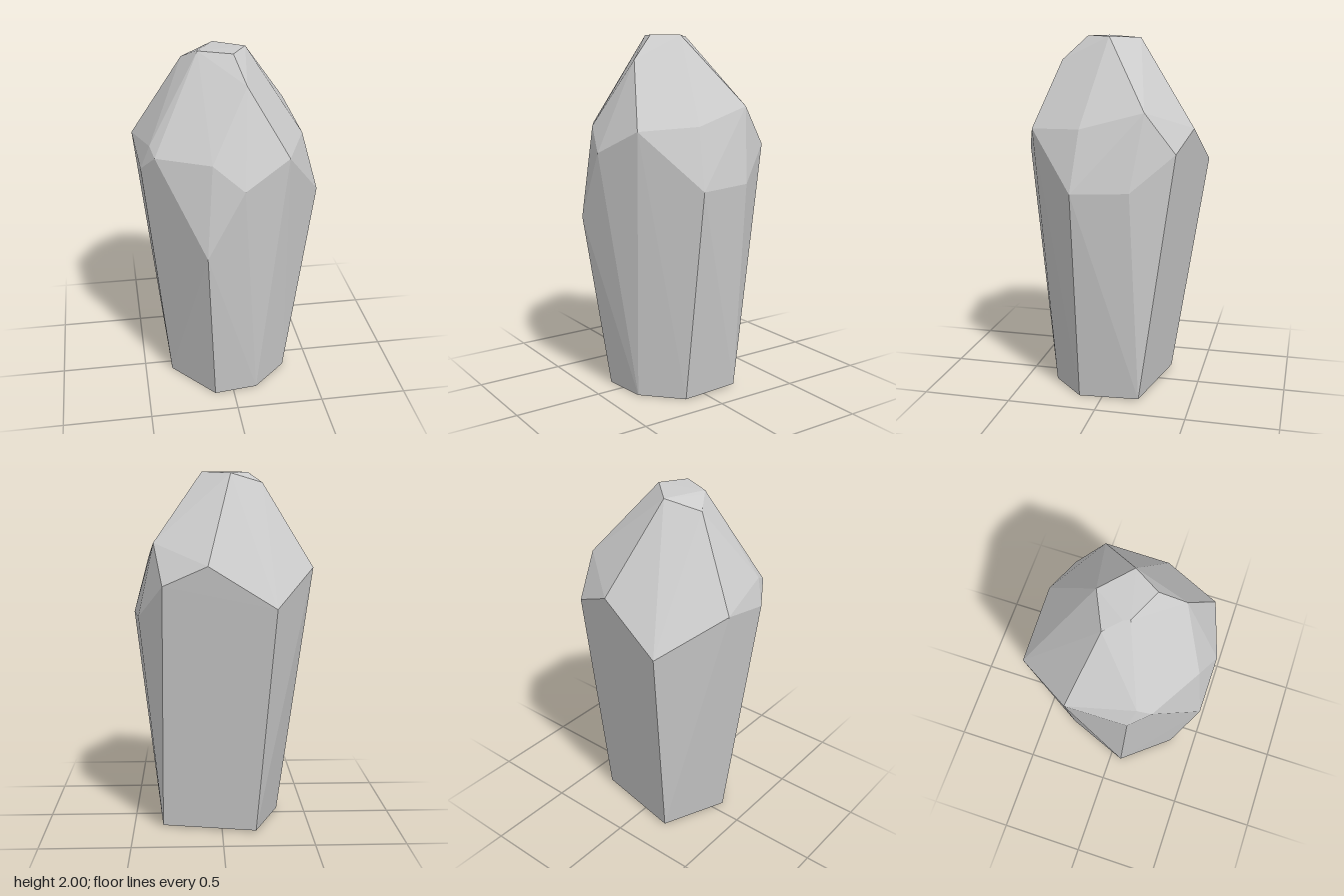
import * as THREE from 'three';
import { ConvexGeometry } from 'three/addons/geometries/ConvexGeometry.js';

// Corner rings of the cut stone, each corner as [x, y, z]
const base = [
  [0.34, 0, 0.13], [0.14, 0, 0.32], [-0.11, 0, 0.35],
  [-0.34, 0, 0.07], [-0.19, 0.01, -0.31], [0.335, 0.01, -0.21],
];
const girdle = [
  [0.5, 1.2, 0.13], [0.28, 1.51, 0.4], [0.03, 1.38, 0.495], [-0.165, 1.0, 0.49],
  [-0.41, 1.5, 0.27], [-0.48, 1.4, 0.16], [-0.505, 1.48, -0.17], [-0.28, 1.29, -0.5],
  [0.08, 1.51, -0.46], [0.32, 1.4, -0.4], [0.46, 1.21, -0.18],
];
const shoulder = [
  [0.41, 1.53, 0.1], [0.07, 1.87, 0.285], [-0.13, 1.51, 0.435],
  [-0.43, 1.54, 0.195], [0.37, 1.62, -0.24],
];
const tip = [
  [-0.05, 1.99, -0.135], [0.105, 2, 0.01], [0.02, 2, 0.15],
  [-0.155, 2, 0.07], [-0.165, 1.99, 0.035], [-0.23, 1.94, -0.05],
];

export function createModel() {
  const group = new THREE.Group();
  group.name = 'crystal';

  // One faceted stone wrapped around all the corner rings
  const corners = [...base, ...girdle, ...shoulder, ...tip].map((p) => new THREE.Vector3(...p));
  const stone = new THREE.Mesh(
    new ConvexGeometry(corners),
    new THREE.MeshStandardMaterial({ color: 0xcccccc, flatShading: true }),
  );
  stone.name = 'stone';
  group.add(stone);
  return group;
}
